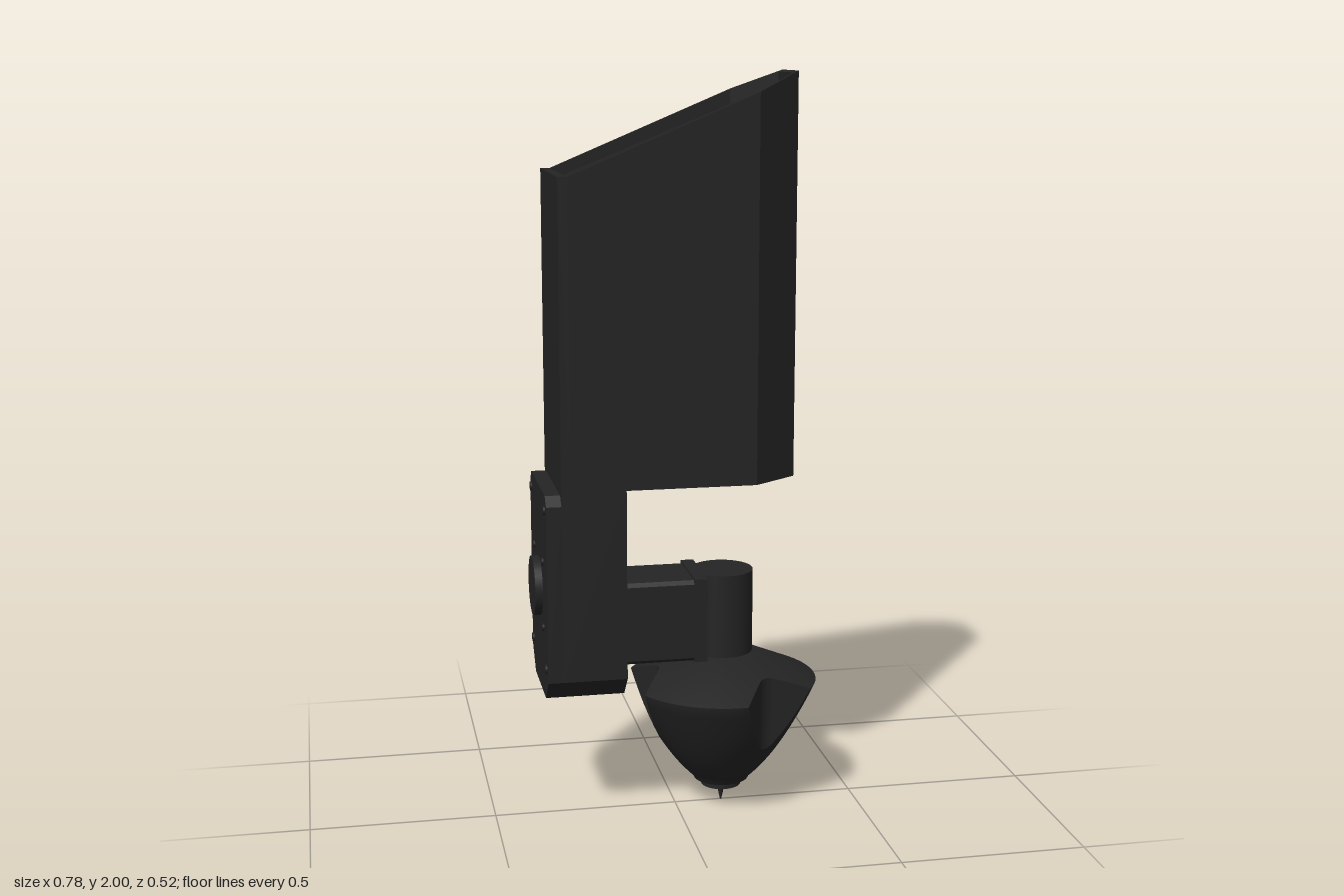
import * as THREE from 'three';
import { toCreasedNormals } from 'three/addons/utils/BufferGeometryUtils.js';

const material = new THREE.MeshStandardMaterial({ color: 0x242424, side: THREE.DoubleSide });
const HEAD_X = 0.13;

function add(parent, name, geometry, x = 0, y = 0, z = 0) {
  const mesh = new THREE.Mesh(geometry, material);
  mesh.name = name;
  mesh.position.set(x, y, z);
  parent.add(mesh);
  return mesh;
}

const points = (list) => list.map(([a, b]) => new THREE.Vector2(a, b));

// Half outline (x, z) mirrored into a closed loop
const mirrored = (half) => points([...half, ...half.map(([x, z]) => [x, -z]).reverse()]);

// Extrude an (x, z) shape upwards
function extrudeUp(shape, depth) {
  return new THREE.ExtrudeGeometry(shape, { depth, bevelEnabled: false }).rotateX(-Math.PI / 2);
}

// Block along x with chamfered corners in its z-y section
function chamferedBlock(x0, x1, y0, y1, half, low, high) {
  const shape = new THREE.Shape(points([
    [-half + low, y0], [half - low, y0], [half, y0 + low], [half, y1 - high],
    [half - high, y1], [-half + high, y1], [-half, y1 - high], [-half, y0 + low],
  ]));
  return new THREE.ExtrudeGeometry(shape, { depth: x1 - x0, bevelEnabled: false })
    .rotateY(Math.PI / 2).translate(x0, 0, 0);
}

// Hollow hopper with a sloping rim
function hopperWalls() {
  const shape = new THREE.Shape(mirrored([[-0.33, -0.172], [-0.305, -0.172], [0.185, -0.172], [0.305, -0.085]]));
  shape.holes.push(new THREE.Path(mirrored([[-0.305, -0.16], [0.18, -0.16], [0.293, -0.079]])));
  const geometry = extrudeUp(shape, 1);
  const p = geometry.attributes.position;
  for (let i = 0; i < p.count; i++) {
    const rim = 1.745 + Math.max(0, p.getX(i) + 0.305) * 0.418;
    p.setY(i, p.getY(i) > 0.5 ? rim : 0.94);
  }
  geometry.computeVertexNormals();
  return geometry;
}

// Plan radius of the three-lobed head, with filleted V notches between lobes
function lobeRadius(degrees) {
  const a = THREE.MathUtils.degToRad(Math.abs(degrees));
  const d = Math.PI / 3 - a;
  if (d < THREE.MathUtils.degToRad(8.2)) {
    return 0.225 * Math.cos(d) - Math.sqrt(0.05 ** 2 - (0.225 * Math.sin(d)) ** 2);
  }
  return Math.min(0.26, 0.145 / Math.sin(Math.max(a, 0.01)));
}

// Head: convex bowl below, shallow cone above, cut by the vertical notches
function headGeometry() {
  const half = [0, 6, 12, 18, 24, 30, 33.9, 38, 42, 47, 51.8, 54, 56, 58];
  const sector = [-60, ...half.slice(1).reverse().map((a) => -a), ...half];
  const angles = [0, 120, 240].flatMap((c) => sector.map((a) => [c + a, lobeRadius(a)]));
  const bowl = (r) => 0.08 + 0.889 * (r - 0.08) + 3.7 * (r - 0.08) ** 2;
  const cone = (r) => 0.36 + (0.26 - r) * 0.457;
  const steps = 12;
  const rings = angles.map(([deg, R]) => {
    const t = THREE.MathUtils.degToRad(deg);
    const profile = [[0, 0.07], [0.075, 0.07], [0.08, 0.08]];
    for (let i = 1; i <= steps; i++) {
      const r = 0.08 + (R - 0.08) * i / steps;
      profile.push([r, bowl(r)]);
    }
    profile.push([R, cone(R)], [0.08, cone(0.08)], [0, cone(0.08)]);
    return profile.map(([r, y]) => [r * Math.cos(t), y, -r * Math.sin(t)]);
  });
  const n = rings[0].length;
  const index = [];
  rings.forEach((_, i) => {
    const a = i * n, b = ((i + 1) % rings.length) * n;
    for (let j = 0; j < n - 1; j++) {
      if (j > 0) index.push(a + j, b + j, b + j + 1);
      if (j < n - 2) index.push(a + j, b + j + 1, a + j + 1);
      else index.push(a + j, b + j, a + j + 1);
    }
  });
  const geometry = new THREE.BufferGeometry();
  geometry.setAttribute('position', new THREE.Float32BufferAttribute(rings.flat(2), 3));
  geometry.setIndex(index);
  return toCreasedNormals(geometry, 0.45);
}

export function createModel() {
  const model = new THREE.Group();
  model.name = 'feeder';

  // Hopper
  const hopper = new THREE.Group();
  hopper.name = 'hopper';
  model.add(hopper);
  add(hopper, 'hopperWalls', hopperWalls());
  const floor = new THREE.Shape(mirrored([[-0.31, -0.165], [0.18, -0.165], [0.297, -0.081]]));
  add(hopper, 'hopperFloor', extrudeUp(floor, 0.012), 0, 0.9405, 0);

  // Drive housing with its back plate, shaft cover and screws
  const housing = new THREE.Group();
  housing.name = 'driveHousing';
  model.add(housing);
  add(housing, 'housingBody', chamferedBlock(-0.33, -0.16, 0.37, 0.94, 0.172, 0.06, 0));
  add(housing, 'backPlate', chamferedBlock(-0.37, -0.33, 0.37, 0.93, 0.172, 0.06, 0.025));
  const disc = (r, depth) => new THREE.CylinderGeometry(r, r, depth, 32).rotateZ(Math.PI / 2);
  add(housing, 'shaftCover', disc(0.08, 0.02), -0.38, 0.65, 0);
  for (const side of [-1, 1]) {
    for (const y of [0.46, 0.89]) add(housing, 'plateScrew', disc(0.012, 0.006), -0.372, y, side * 0.14);
    for (const y of [0.56, 0.74]) add(housing, 'coverScrew', disc(0.01, 0.006), -0.372, y, side * 0.09);
  }

  // Arm, clamp flange and neck
  const arm = new THREE.Group();
  arm.name = 'arm';
  model.add(arm);
  add(arm, 'armBeam', chamferedBlock(-0.16, 0.035, 0.44, 0.665, 0.094, 0.01, 0.01));
  add(arm, 'clampFlange', chamferedBlock(0.035, 0.07, 0.44, 0.67, 0.1, 0, 0));
  add(arm, 'neck', chamferedBlock(0.07, HEAD_X, 0.44, 0.655, 0.06, 0, 0));

  // Column and dispensing head
  add(model, 'column', new THREE.CylinderGeometry(0.084, 0.084, 0.25, 48), HEAD_X, 0.545, 0);
  add(model, 'lobedHead', headGeometry(), HEAD_X);
  add(model, 'nozzleCollar', new THREE.CylinderGeometry(0.055, 0.055, 0.022, 32), HEAD_X, 0.061, 0);
  add(model, 'nozzleTip', new THREE.CylinderGeometry(0.013, 0.002, 0.052, 16), HEAD_X, 0.026, 0);

  return model;
}
